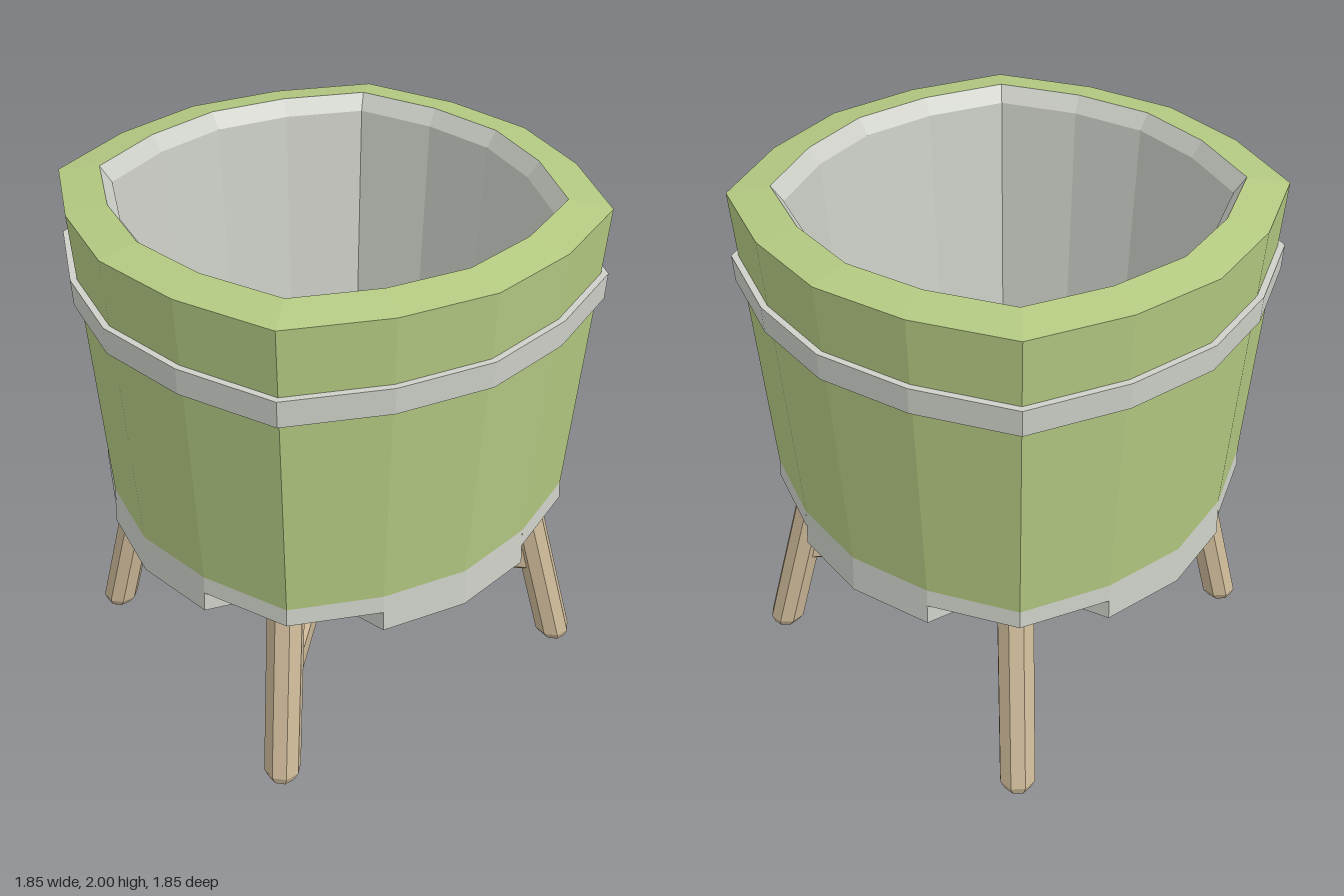
import * as THREE from 'three';

const green = new THREE.MeshStandardMaterial({ name: 'green glaze', color: 0xb4c982 });
const grey = new THREE.MeshStandardMaterial({ name: 'pale grey', color: 0xcdd0c8 });
const wood = new THREE.MeshStandardMaterial({ name: 'light wood', color: 0xcdb998 });

// Sixteen-sided outline, slightly square: the four diagonal corners reach furthest out
const SIDES = 16;
const RADII = [0.916, 0.923, 0.99, 0.923];
function point(i, scale, y) {
  const a = (i / SIDES) * Math.PI * 2;
  const r = RADII[((i % 4) + 4) % 4] * scale;
  return [Math.cos(a) * r, y, Math.sin(a) * r];
}

// Flat-faced geometry from polygons, each fanned from its first corner
function faceted(polygons) {
  const pos = [];
  for (const p of polygons) {
    for (let i = 1; i < p.length - 1; i++) pos.push(...p[0], ...p[i], ...p[i + 1]);
  }
  const g = new THREE.BufferGeometry();
  g.setAttribute('position', new THREE.Float32BufferAttribute(pos, 3));
  g.computeVertexNormals();
  return g;
}

// Sweep a profile of [scale, y] pairs around the outline
function ringed(profile) {
  const polys = [];
  for (let j = 0; j < profile.length - 1; j++) {
    const [s0, y0] = profile[j], [s1, y1] = profile[j + 1];
    for (let i = 0; i < SIDES; i++) {
      const poly = [point(i, s0, y0)];
      if (s1 > 0) poly.push(point(i, s1, y1));
      poly.push(point(i + 1, s1, y1), point(i + 1, s0, y0));
      polys.push(poly);
    }
  }
  return faceted(polys);
}

// Base: short skirt, shallow sloped underside and a notch over each leg
function baseGeometry() {
  const polys = [];
  const top = 0.8, high = 0.73, low = 0.65;
  const outer = (i, y) => point(i, y === high ? 0.919 : 0.922, y);
  const inner = (k, y) => point(2 + 4 * k, 0.571, y);
  for (let i = 0; i < SIDES; i++) {
    const y = i % 4 === 1 || i % 4 === 2 ? high : low;
    polys.push([outer(i, y), point(i, 0.915, top), point(i + 1, 0.915, top), outer(i + 1, y)]);
  }
  for (let k = 0; k < 4; k++) {
    const n = 4 * k;
    const iHigh = inner(k, 0.67), iLow = inner(k, 0.613);
    // notch ceiling and its two walls
    polys.push([iHigh, outer(n + 1, high), outer(n + 2, high), outer(n + 3, high)]);
    polys.push([iLow, outer(n + 1, low), outer(n + 1, high), iHigh]);
    polys.push([iHigh, outer(n + 3, high), outer(n + 3, low), iLow]);
    // sloped panel to the next notch
    polys.push([iLow, outer(n + 3, low), outer(n + 4, low), outer(n + 5, low), inner(k + 1, 0.613)]);
  }
  polys.push([0, 1, 2, 3].map((k) => inner(k, 0.613)));
  return faceted(polys);
}

// Splayed leg: turned profile sheared so that its rings stay level
function legGeometry(foot, head) {
  const profile = [[0, 0], [0.05, 0], [0.07, 0.035], [0.07, 0.75], [0, 0.75]]
    .map(([r, y]) => new THREE.Vector2(r, y));
  const g = new THREE.LatheGeometry(profile, 8, Math.PI / 8).toNonIndexed();
  const p = g.attributes.position;
  for (let i = 0; i < p.count; i++) {
    const t = p.getY(i) / 0.73;
    p.setX(i, p.getX(i) + foot[0] + (head[0] - foot[0]) * t);
    p.setZ(i, p.getZ(i) + foot[1] + (head[1] - foot[1]) * t);
  }
  g.computeVertexNormals();
  return g;
}

// Stretcher: chamfered bar between two floor-plan points
function stretcherMesh(a, b, y) {
  const w = 0.05, h = 0.067, c = 0.024;
  const shape = new THREE.Shape([
    [-w, -h + c], [-w + c, -h], [w - c, -h], [w, -h + c],
    [w, h - c], [w - c, h], [-w + c, h], [-w, h - c],
  ].map(([x, v]) => new THREE.Vector2(x, v)));
  const dx = b[0] - a[0], dz = b[1] - a[1];
  const g = new THREE.ExtrudeGeometry(shape, { depth: Math.hypot(dx, dz), bevelEnabled: false });
  const m = new THREE.Mesh(g, wood);
  m.position.set(a[0], y, a[1]);
  m.rotation.y = Math.atan2(dx, dz);
  return m;
}

export function createModel() {
  const model = new THREE.Group();
  model.name = 'planter';
  const add = (name, geometry, material) => {
    const m = new THREE.Mesh(geometry, material);
    m.name = name;
    model.add(m);
  };

  // Tub with sloped rim, inner lining and floor, and a band around it
  add('tubBody', ringed([[0.915, 0.8], [1, 1.975], [0.843, 2]]), green);
  add('innerLining', ringed([[0.843, 2], [0.8, 1.94], [0.735, 0.85], [0, 0.85]]), grey);
  add('band', ringed([[0.95, 1.625], [1.003, 1.625], [1.008, 1.725], [0.95, 1.725]]), grey);
  add('base', baseGeometry(), grey);

  // Legs: [name, foot x z, head x z]
  const legs = [
    ['frontLeftLeg', [0.697, 0.637], [0.56, 0.51]],
    ['frontRightLeg', [-0.672, 0.637], [-0.555, 0.51]],
    ['backRightLeg', [-0.672, -0.605], [-0.555, -0.48]],
    ['backLeftLeg', [0.7, -0.687], [0.56, -0.545]],
  ];
  for (const [name, foot, head] of legs) add(name, legGeometry(foot, head), wood);

  // Crossed stretchers joining opposite legs
  const y = 0.4125;
  const at = ([, foot, head]) => foot.map((v, i) => v + (head[i] - v) * (y / 0.73));
  for (let i = 0; i < 2; i++) {
    const bar = stretcherMesh(at(legs[i]), at(legs[i + 2]), y);
    bar.name = 'stretcher' + (i + 1);
    model.add(bar);
  }
  return model;
}
